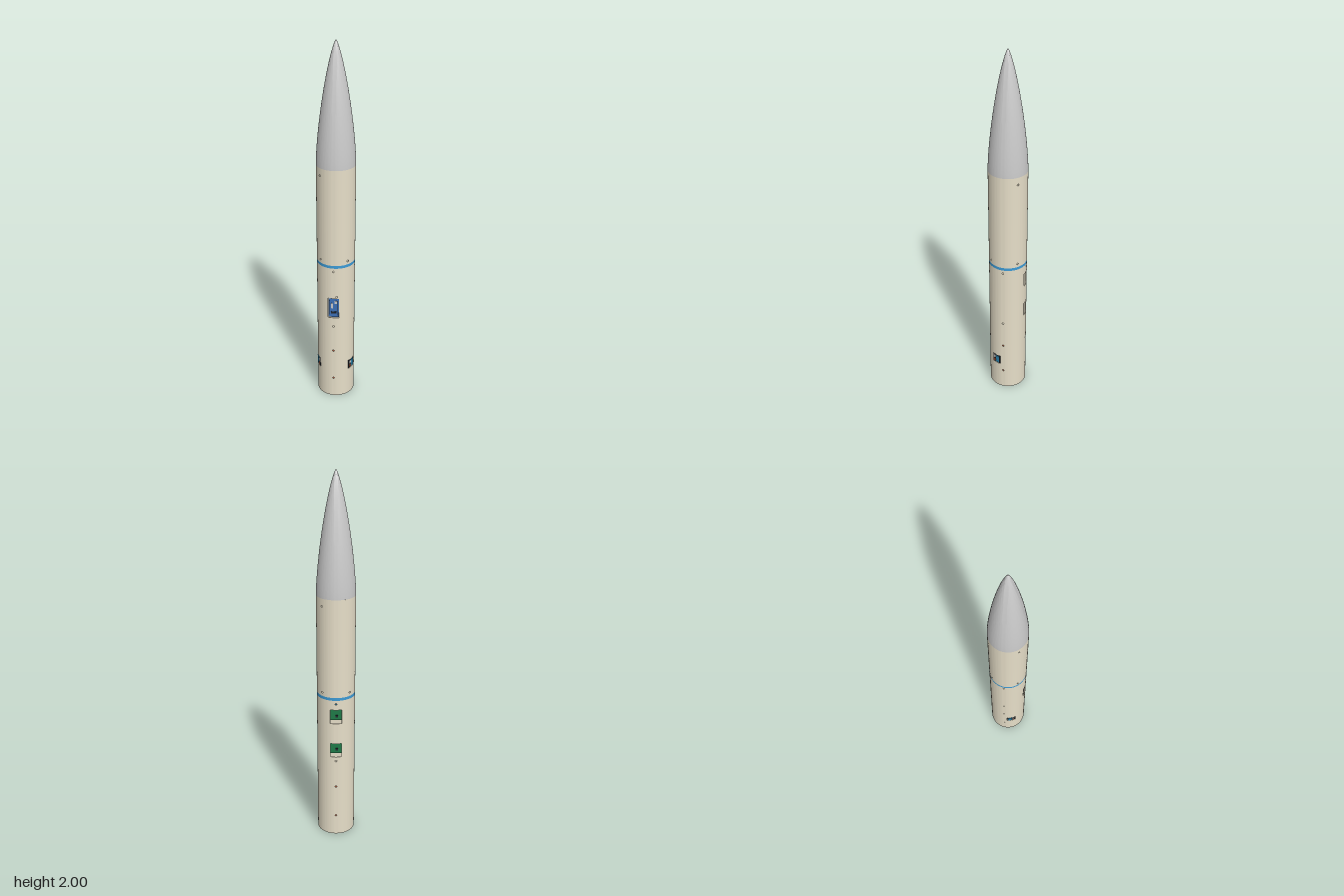
import * as THREE from 'three';
import { toCreasedNormals } from 'three/addons/utils/BufferGeometryUtils.js';

const R = 0.102, WALL = 0.003, BODY_TOP = 1.375, TOP = 2;
const rad = THREE.MathUtils.degToRad;
const mat = (color, side = THREE.FrontSide) => new THREE.MeshStandardMaterial({ color, side });

const cream = mat(0xe6dec8);
const grey = mat(0xcccccc);
const bandBlue = mat(0x3d9bd6);
const boardBlue = mat(0x3c70b8);
const boardGreen = mat(0x1f7a48);
const teal = mat(0x2c86b0);
const dark = mat(0x22262c);
const copper = mat(0xa8573a);
const nozzleDark = mat(0x5a3226);

// Angles are in degrees around y: 0 is the front, 90 is the model's left.
const windows = [
  { az: 0, half: 17.5, y0: 0.52, y1: 0.64 },
  { az: 65, half: 15, y0: 0.165, y1: 0.222 },
  { az: 295, half: 15, y0: 0.165, y1: 0.222 },
  { az: 180, half: 17.5, y0: 0.69, y1: 0.77 },
  { az: 180, half: 17.5, y0: 0.49, y1: 0.57 },
];

// Small round holes drilled through the tube wall
const holes = [{ az: 10, y: 0.65 }];
for (const y of [0.12, 0.305, 0.465, 0.805]) for (const az of [0, 90, 180, 270]) holes.push({ az, y });
for (const az of [45, 135, 225, 315]) holes.push({ az, y: 0.86 });
for (const az of [135, 315]) holes.push({ az, y: 1.335 });
const HOLE_AZ = 5, HOLE_Y = 0.01, HOLE_R = 0.005;

// Hollow tube: a grid of wall cells, skipping windows, with rings around the holes
function tubeGeometry() {
  const pos = [];
  const at = (r, az, y) => [r * Math.sin(rad(az)), y, r * Math.cos(rad(az))];
  const quad = (a, b, c, d) => pos.push(...a, ...b, ...c, ...a, ...c, ...d);
  const openings = [
    ...windows,
    ...holes.map((h) => ({ az: h.az, half: HOLE_AZ, y0: h.y - HOLE_Y, y1: h.y + HOLE_Y })),
  ];
  const isOpen = (list, az, y) => list.some((o) => {
    const d = ((az - o.az + 540) % 360) - 180;
    return Math.abs(d) < o.half && y > o.y0 && y < o.y1;
  });
  const ys = [0, BODY_TOP, ...openings.flatMap((o) => [o.y0, o.y1])]
    .sort((a, b) => a - b).filter((y, i, l) => i === 0 || y - l[i - 1] > 1e-6);
  const ri = R - WALL, step = 2.5;

  for (let j = 0; j < ys.length - 1; j++) {
    const y0 = ys[j], y1 = ys[j + 1], ym = (y0 + y1) / 2;
    for (let a = 0; a < 360; a += step) {
      const b = a + step, am = a + step / 2;
      if (isOpen(openings, am, ym)) continue;
      quad(at(R, a, y0), at(R, b, y0), at(R, b, y1), at(R, a, y1));
      quad(at(ri, b, y0), at(ri, a, y0), at(ri, a, y1), at(ri, b, y1));
      // Wall thickness along window edges and the tube ends
      if (isOpen(windows, am + step, ym)) quad(at(R, b, y0), at(ri, b, y0), at(ri, b, y1), at(R, b, y1));
      if (isOpen(windows, am - step, ym)) quad(at(ri, a, y0), at(R, a, y0), at(R, a, y1), at(ri, a, y1));
      const above = j + 2 < ys.length ? isOpen(windows, am, (y1 + ys[j + 2]) / 2) : true;
      const below = j > 0 ? isOpen(windows, am, (y0 + ys[j - 1]) / 2) : true;
      if (above) quad(at(R, a, y1), at(R, b, y1), at(ri, b, y1), at(ri, a, y1));
      if (below) quad(at(ri, a, y0), at(ri, b, y0), at(R, b, y0), at(R, a, y0));
    }
  }
  const n = 16;
  for (const h of holes) {
    const square = (r, t) => {
      const c = Math.cos(t), s = Math.sin(t), m = Math.max(Math.abs(c), Math.abs(s));
      return at(r, h.az + (HOLE_AZ * c) / m, h.y + (HOLE_Y * s) / m);
    };
    const circle = (r, t) =>
      at(r, h.az + THREE.MathUtils.radToDeg(HOLE_R / R) * Math.cos(t), h.y + HOLE_R * Math.sin(t));
    for (let k = 0; k < n; k++) {
      const t = (k / n) * Math.PI * 2, u = ((k + 1) / n) * Math.PI * 2;
      quad(circle(R, t), square(R, t), square(R, u), circle(R, u));
      quad(square(ri, t), circle(ri, t), circle(ri, u), square(ri, u));
      quad(circle(ri, t), circle(R, t), circle(R, u), circle(ri, u));
    }
  }
  const g = new THREE.BufferGeometry();
  g.setAttribute('position', new THREE.Float32BufferAttribute(pos, 3));
  return toCreasedNormals(g, 0.6);
}

// Rounded-tip nose profile
function noseGeometry() {
  const pts = [], L = TOP - BODY_TOP, n = 48;
  pts.push(new THREE.Vector2(0, BODY_TOP), new THREE.Vector2(R, BODY_TOP));
  for (let i = n; i >= 0; i--) {
    const t = (i / n) * Math.PI;
    const r = R * Math.sqrt(Math.max(0, (t - Math.sin(2 * t) / 2) / Math.PI));
    pts.push(new THREE.Vector2(r, TOP - (L * (1 - Math.cos(t))) / 2));
  }
  return toCreasedNormals(new THREE.LatheGeometry(pts, 96), 0.6);
}

export function createModel() {
  const model = new THREE.Group();
  model.name = 'rocket';
  const add = (parent, name, geometry, material, x = 0, y = 0, z = 0) => {
    const m = new THREE.Mesh(geometry, material);
    m.name = name;
    m.position.set(x, y, z);
    parent.add(m);
    return m;
  };
  const box = (parent, name, w, h, d, material, x, y, z) =>
    add(parent, name, new THREE.BoxGeometry(w, h, d), material, x, y, z);
  const group = (name, az, y) => {
    const g = new THREE.Group();
    g.name = name;
    g.position.y = y;
    g.rotation.y = rad(az);
    model.add(g);
    return g;
  };

  add(model, 'bodyTube', tubeGeometry(), cream);
  add(model, 'noseCone', noseGeometry(), grey);

  // Painted stripe
  add(model, 'stripe', new THREE.CylinderGeometry(R + 0.0008, R + 0.0008, 0.016, 96, 1, true), bandBlue, 0, 0.833, 0);

  // Motor with a recessed nozzle
  const motor = [[0, 0.27], [0.035, 0.27], [0.035, 0.002], [0.028, 0.002], [0.014, 0.03], [0, 0.03]]
    .reverse().map(([r, y]) => new THREE.Vector2(r, y));
  add(model, 'motor', toCreasedNormals(new THREE.LatheGeometry(motor, 48), 0.6), copper);
  add(model, 'nozzleThroat', new THREE.CylinderGeometry(0.026, 0.026, 0.004, 32), nozzleDark, 0, 0.005, 0);

  // Inner mounting plate
  box(model, 'mountingPlate', 0.12, 0.42, 0.005, cream, 0, 0.62, -0.042);

  // Front circuit board just inside its window
  const front = group('frontBoard', 0, 0.58);
  box(front, 'boardPlate', 0.056, 0.118, 0.004, boardBlue, 0, 0, 0.092);
  box(front, 'processor', 0.012, 0.03, 0.004, grey, -0.009, 0.012, 0.095);
  box(front, 'connector', 0.014, 0.018, 0.004, grey, 0.012, 0.034, 0.095);
  box(front, 'lowerChip', 0.03, 0.012, 0.003, dark, 0, -0.03, 0.095);
  for (const s of [-1, 1]) box(front, 'pinHeader', 0.003, 0.09, 0.004, dark, s * 0.023, 0, 0.095);

  // Side modules filling the lower windows
  for (const s of [-1, 1]) {
    const side = group(s > 0 ? 'leftModule' : 'rightModule', s * 65, 0.193);
    box(side, 'housing', 0.046, 0.052, 0.02, dark, 0, 0, 0.09);
    box(side, 'cover', 0.022, 0.044, 0.004, teal, s * 0.008, 0, 0.101);
    box(side, 'sensor', 0.014, 0.016, 0.005, grey, -s * 0.013, 0.012, 0.101);
    box(side, 'terminal', 0.014, 0.012, 0.005, copper, -s * 0.013, -0.012, 0.101);
  }

  // Rear boards set deep inside
  for (const [name, y] of [['upperRearBoard', 0.73], ['lowerRearBoard', 0.53]]) {
    const rear = group(name, 180, y);
    box(rear, 'boardPlate', 0.06, 0.085, 0.004, boardGreen, 0, 0, 0.05);
    box(rear, 'chip', 0.014, 0.014, 0.004, dark, 0.005, -0.02, 0.053);
    if (y > 0.6) box(rear, 'radioUnit', 0.05, 0.03, 0.008, teal, 0, 0.038, 0.055);
  }
  return model;
}
